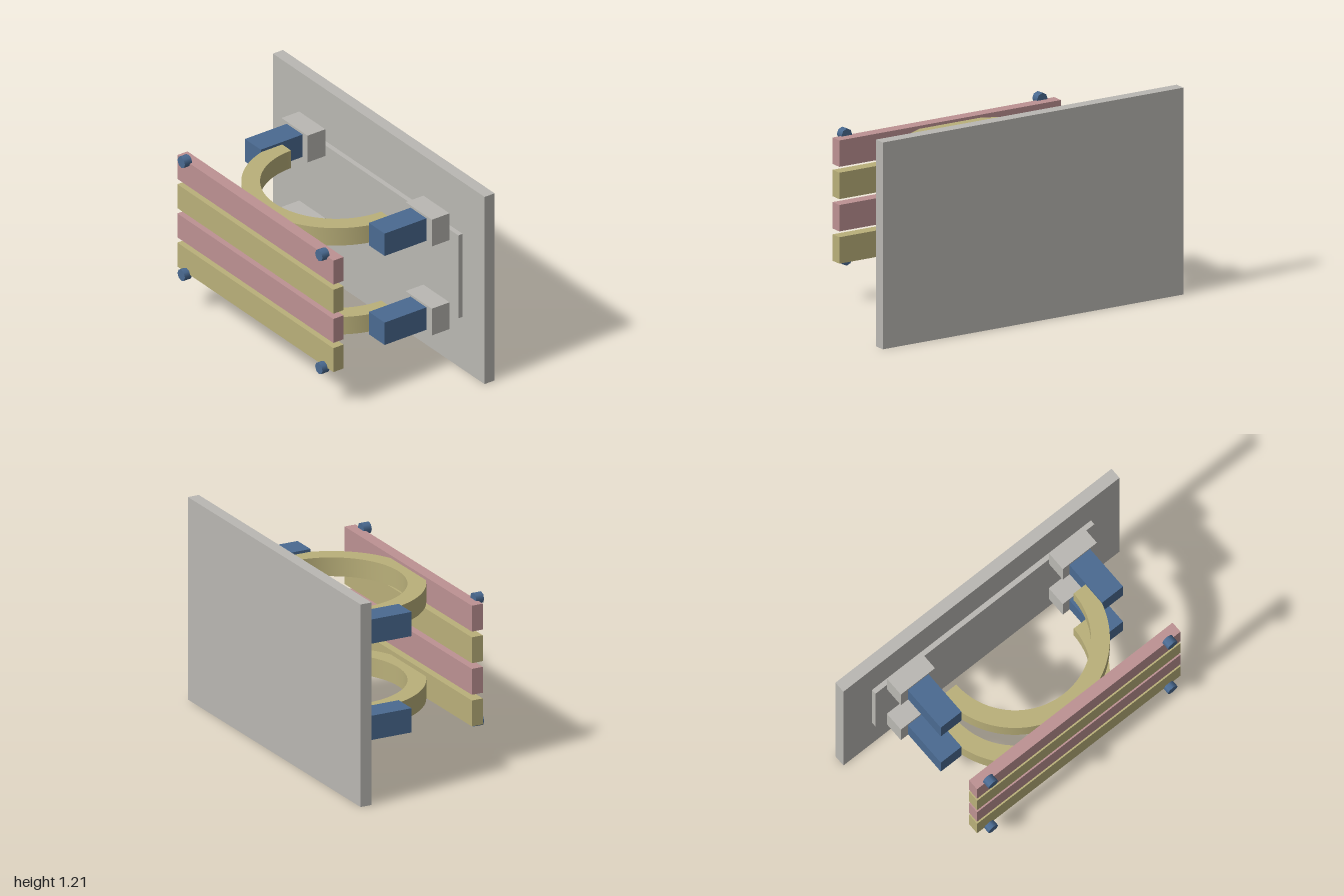
import * as THREE from 'three';
import { toCreasedNormals } from 'three/addons/utils/BufferGeometryUtils.js';

export function createModel() {
  const model = new THREE.Group();
  model.name = 'slattedWallBracket';

  const material = (name, color) => {
    const m = new THREE.MeshStandardMaterial({ color });
    m.name = name;
    return m;
  };
  const grey = material('warmGrey', 0xbab8b3);
  const blue = material('steelBlue', 0x4a6a91);
  const yellow = material('paleOlive', 0xbab07a);
  const pink = material('dustyPink', 0xbd9293);

  const add = (name, geometry, mat) => {
    const mesh = new THREE.Mesh(geometry, mat);
    mesh.name = name;
    model.add(mesh);
    return mesh;
  };
  // Box given by its extents on each axis
  const box = (name, mat, [x0, x1], [y0, y1], [z0, z1]) =>
    add(name, new THREE.BoxGeometry(x1 - x0, y1 - y0, z1 - z0), mat)
      .position.set((x0 + x1) / 2, (y0 + y1) / 2, (z0 + z1) / 2);

  // Wall panel with its thin mounting plate
  box('backPanel', grey, [-1, 1], [0, 1.205], [-0.48, -0.41]);
  box('mountingPlate', grey, [-0.793, 0.793], [0.338, 0.872], [-0.41, -0.38]);

  // Half ring, open towards the panel
  const ring = new THREE.Shape();
  ring.absarc(0, 0, 0.53, 0, Math.PI, false);
  ring.absarc(0, 0, 0.425, Math.PI, 0, true);
  ring.closePath();
  const ringDepth = 0.112;
  const ringGeometry = toCreasedNormals(
    new THREE.ExtrudeGeometry(ring, { depth: ringDepth, bevelEnabled: false, curveSegments: 40 })
      .translate(0, 0, -ringDepth / 2)
      .rotateX(Math.PI / 2), 0.5);

  // Upper and lower brackets: foot, arm on each side, half ring between
  for (const [level, y] of [['lower', 0.317], ['upper', 0.89]]) {
    for (const [side, s] of [['Left', 1], ['Right', -1]]) {
      const span = (a, b) => (s > 0 ? [a, b] : [-b, -a]);
      box(level + side + 'Foot', grey, span(0.463, 0.71), [y - 0.086, y + 0.086], [-0.38, -0.257]);
      box(level + side + 'Arm', blue, span(0.51, 0.66), [y - 0.072, y + 0.072], [-0.257, 0.033]);
    }
    add(level + 'HalfRing', ringGeometry, yellow).position.set(0, y, -0.115);
  }

  // Four alternating front slats
  for (let i = 0; i < 4; i++) {
    const y = 0.322 + i * 0.188;
    box('slat' + (i + 1), i % 2 ? yellow.clone && (i % 2 ? pink : yellow) : yellow,
      [-0.737, 0.737], [y - 0.077, y + 0.077], [0.375, 0.445]);
  }

  // Corner pegs on the slats
  const peg = new THREE.CylinderGeometry(0.035, 0.035, 0.05, 8).rotateX(Math.PI / 2);
  for (const x of [-0.65, 0.65]) {
    for (const y of [0.241, 0.968]) add('cornerPeg', peg, blue).position.set(x, y, 0.457);
  }

  return model;
}
